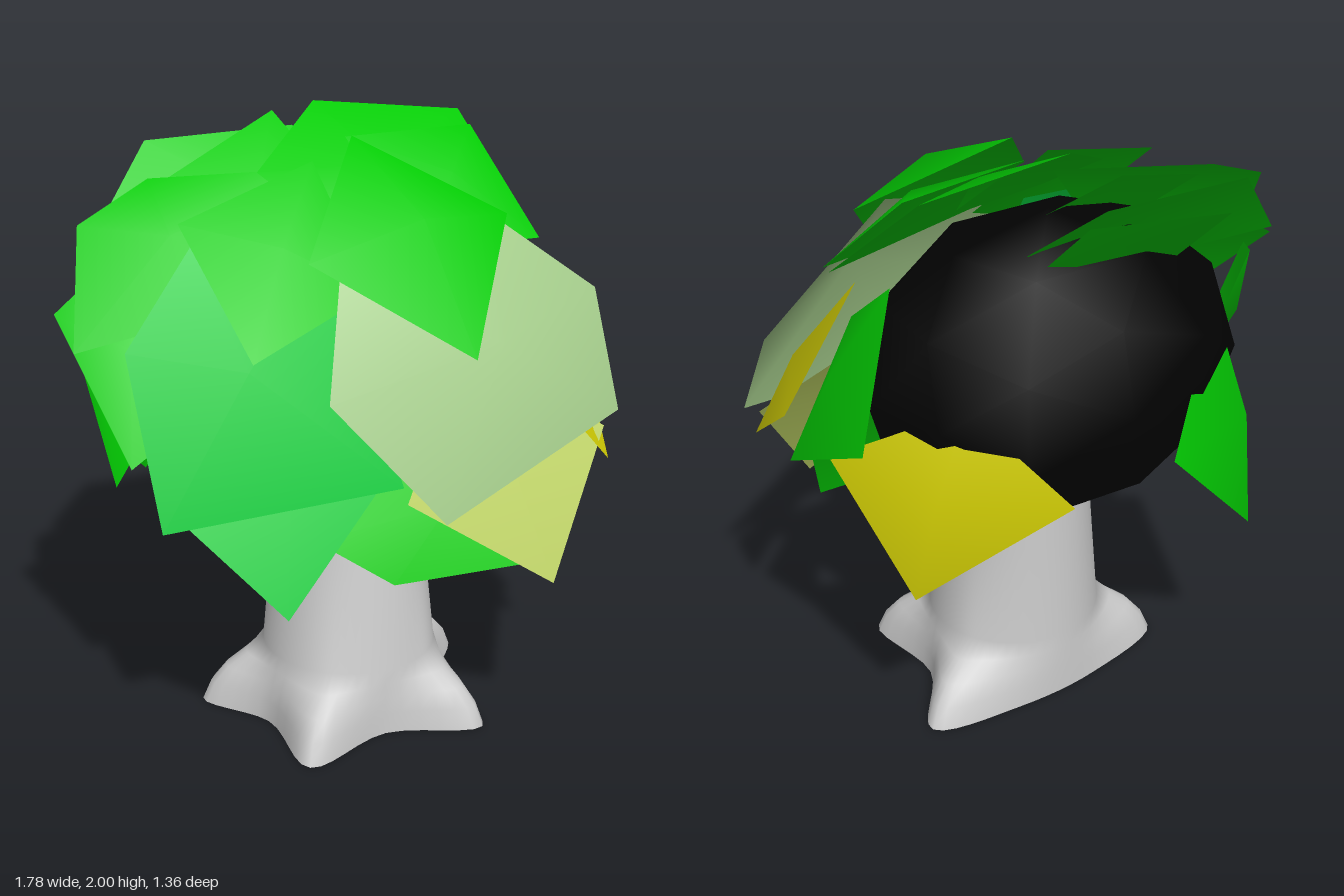
import * as THREE from 'three';

const mat = (name, color, side = THREE.DoubleSide) => {
  const m = new THREE.MeshStandardMaterial({ color, side });
  m.name = name;
  return m;
};

const V = (p) => new THREE.Vector3(...p);
const CROWN = V([0.03, 1.26, -0.15]);

// Leaf: a fan around its middle, which is lifted outward into a shallow dome
function leafGeometry(lift, corners) {
  let pts = corners.map(V);
  const mid = pts.reduce((s, p) => s.add(p), new THREE.Vector3()).divideScalar(pts.length);
  const normal = new THREE.Vector3();
  pts.forEach((p, i) => {
    const q = pts[(i + 1) % pts.length];
    normal.add(p.clone().sub(mid).cross(q.clone().sub(mid)));
  });
  normal.normalize();
  if (normal.dot(mid.clone().sub(CROWN)) < 0) {
    pts = pts.reverse();
    normal.negate();
  }
  mid.addScaledVector(normal, lift);
  const index = [];
  pts.forEach((p, i) => index.push(0, i + 1, ((i + 1) % pts.length) + 1));
  const g = new THREE.BufferGeometry().setFromPoints([mid, ...pts]);
  g.setIndex(index);
  g.computeVertexNormals();
  return g;
}

// Trunk: a lobed root outline blending upward into a tapering round stem
function trunkGeometry() {
  const outline = new THREE.CatmullRomCurve3(
    [[0.51, -0.2], [0.36, 0.08], [0.38, 0.42], [0.06, 0.35], [-0.25, 0.47],
      [-0.28, 0.14], [-0.44, -0.09], [-0.12, -0.22], [0.2, -0.25]].map(([x, z]) => V([x, 0, z])), true);
  const n = 54;
  const base = outline.getPoints(n).slice(0, n);
  // height, root blend, centre x, centre z, radius
  const rings = [
    [0, 1, 0.04, 0.05, 0.29], [0.07, 0.86, 0.04, 0.05, 0.29], [0.13, 0.62, 0.04, 0.05, 0.29],
    [0.18, 0.28, 0.04, 0.05, 0.29], [0.23, 0, 0.04, 0.05, 0.29],
    [0.6, 0, 0.045, 0.025, 0.255], [1, 0, 0.05, -0.01, 0.215],
  ];
  const pos = [], index = [];
  rings.forEach(([y, blend, cx, cz, r], j) => {
    base.forEach((b, i) => {
      const t = Math.atan2(b.z - 0.05, b.x - 0.04);
      pos.push(
        THREE.MathUtils.lerp(cx + r * Math.cos(t), b.x, blend), y,
        THREE.MathUtils.lerp(cz + r * Math.sin(t), b.z, blend));
      if (j === rings.length - 1) return;
      const a = j * n + i, c = j * n + ((i + 1) % n);
      index.push(a, a + n, c, c, a + n, c + n);
    });
  });
  const g = new THREE.BufferGeometry();
  g.setAttribute('position', new THREE.Float32BufferAttribute(pos, 3));
  g.setIndex(index);
  g.computeVertexNormals();
  return g;
}

export function createModel() {
  const group = new THREE.Group();
  const add = (name, geometry, material) => {
    const mesh = new THREE.Mesh(geometry, material);
    mesh.name = name;
    group.add(mesh);
    return mesh;
  };

  add('trunk', trunkGeometry(), mat('bark grey', 0xcccccc));

  // Dark core of the crown
  const core = add('crownCore', new THREE.IcosahedronGeometry(1, 1), mat('core black', 0x020202, THREE.FrontSide));
  core.position.copy(CROWN);
  core.scale.set(0.64, 0.51, 0.49);

  // Each leaf is its lift followed by its corners
  const leaves = (name, material, list) =>
    list.forEach(([lift, ...corners], i) => add(`${name}${i + 1}`, leafGeometry(lift, corners), material));

  const green = mat('leaf green', 0x02cc02);

  // Leaves over the top of the crown
  leaves('topLeaf', green, [
    [0.12, [0.06, 1.95, 0.01], [0.49, 1.72, 0.25], [0.22, 1.4, 0.65], [-0.22, 1.67, 0.39]],
    [0.07, [-0.54, 1.75, 0.11], [-0.07, 1.88, 0.01], [0, 1.55, 0.36], [-0.42, 1.4, 0.46]],
    [0.07, [0.04, 2, -0.29], [0.54, 1.94, -0.26], [0.65, 1.6, 0.12], [0.1, 1.65, 0.2], [-0.1, 1.73, 0.09], [-0.23, 1.84, -0.06]],
    [0.08, [0.54, 1.91, -0.16], [0.65, 1.6, 0.16], [0.2, 1.62, 0.22], [0.08, 1.92, -0.1]],
    [0.05, [-0.06, 1.95, -0.41], [-0.47, 1.8, -0.24], [-0.35, 1.54, 0.05], [0.1, 1.7, -0.1]],
    [0.05, [-0.48, 1.87, -0.47], [0.03, 1.88, -0.47], [0.2, 1.71, -0.3], [-0.1, 1.44, -0.02], [-0.7, 1.6, -0.33]],
    [0, [-0.38, 1.8, -0.53], [0.13, 1.87, -0.53], [0.2, 1.72, -0.41], [-0.3, 1.55, -0.3]],
  ]);

  // Leaves around the sides
  leaves('sideLeaf', green, [
    [0.07, [-0.87, 1.36, 0.07], [-0.79, 1.7, -0.15], [-0.54, 1.81, -0.22], [-0.05, 1.84, -0.05], [-0.35, 1.5, 0.2]],
    [0.06, [-0.89, 1.44, -0.09], [-0.76, 1.05, 0.3], [-0.5, 1.2, 0.25], [-0.6, 1.65, -0.15]],
    [0.06, [-0.77, 0.93, 0.14], [-0.6, 1.0, -0.1], [-0.6, 1.55, -0.35], [-0.85, 1.38, 0]],
    [0.06, [0.6, 1.66, -0.18], [0.8, 1.23, -0.35], [0.8, 0.96, 0.16], [0.57, 1.42, 0.14]],
    [0.1, [-0.09, 1.1, -0.68], [-0.49, 0.68, -0.56], [-0.69, 0.95, -0.14], [-0.43, 1.43, -0.4]],
    [0.03, [0.04, 0.6, 0.46], [0.56, 0.6, 0.46], [0.68, 0.95, 0.28], [0.2, 1.1, 0.2], [-0.2, 0.76, 0.39]],
  ]);

  leaves('tealLeaf', mat('leaf teal', 0x02cc3c), [
    [0.1, [-0.75, 1.4, 0.23], [-0.71, 0.89, 0.45], [0.06, 0.94, 0.48], [-0.1, 1.64, 0.2], [-0.5, 1.67, 0.1]],
    [0.03, [-0.35, 0.59, 0.56], [-0.62, 0.88, 0.41], [-0.25, 1.25, 0.26], [0.03, 0.97, 0.43]],
  ]);

  leaves('paleLeaf', mat('leaf pale', 0xa8d08e), [
    [0.18, [0.4, 1.75, 0.21], [0.86, 1.41, 0.16], [0.85, 1.06, 0.38], [0.12, 0.89, 0.68],
      [-0.19, 1.25, 0.49], [-0.11, 1.6, 0.36]],
  ]);

  leaves('oliveLeaf', mat('leaf olive', 0xbcd064), [
    [0.02, [0.52, 0.6, 0.62], [0.79, 1.02, 0.4], [0.36, 1.3, 0.24], [0.04, 0.92, 0.56]],
  ]);

  leaves('yellowLeaf', mat('leaf yellow', 0xd0cc04), [
    [0.05, [0.89, 1.24, -0.02], [0.79, 0.92, 0.44], [0.5, 1.27, 0.42], [0.6, 1.59, 0.04]],
    [0.1, [0.25, 1.03, -0.65], [0.65, 0.68, -0.37], [0.78, 1.09, -0.08], [0.49, 1.33, -0.42]],
  ]);

  return group;
}
